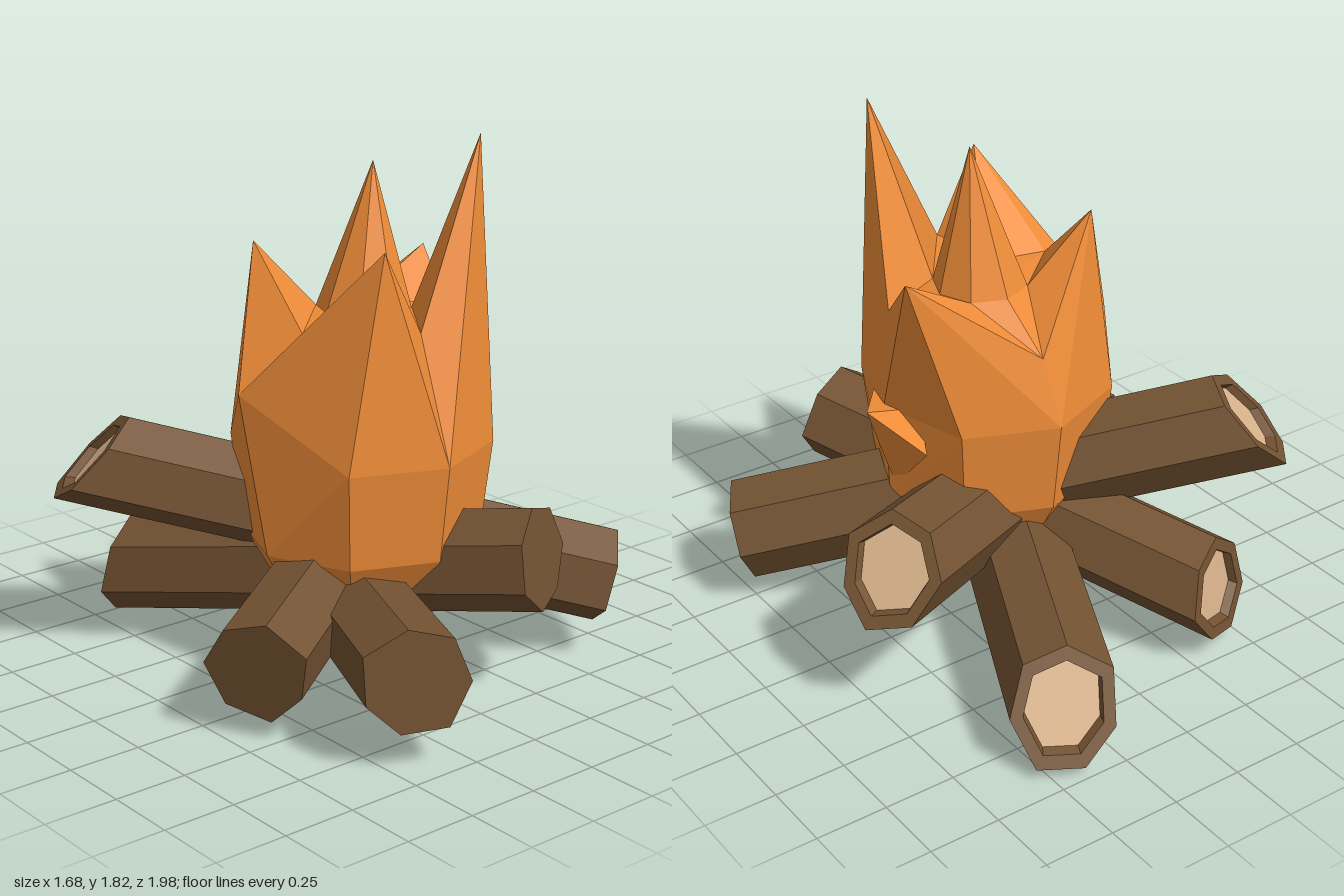
import * as THREE from 'three';
import { ConvexGeometry } from 'three/addons/geometries/ConvexGeometry.js';

const mat = (color) => new THREE.MeshStandardMaterial({ color, flatShading: true });
const bark = mat(0x735232), wood = mat(0xdab48c), fire = mat(0xee8c38);
const SIDES = 7;

// A log from its plain front end to its slanted, hollowed back end
function makeLog(name, front, back, r, slant, seed) {
  const a = new THREE.Vector3(...front), b = new THREE.Vector3(...back);
  const L = a.distanceTo(b);
  const shape = (geo) => {
    geo.rotateX(Math.PI / 2); // length runs along z
    const p = geo.attributes.position;
    for (let i = 0; i < p.count; i++) {
      const ang = Math.atan2(p.getY(i), p.getX(i));
      const k = 1 + 0.05 * Math.sin(2 * ang + seed) + 0.04 * Math.sin(3 * ang + seed * 2);
      const x = p.getX(i) * k, y = p.getY(i) * k, z = p.getZ(i);
      p.setXYZ(i, x, y, z - slant * y * (z / L));
    }
    return geo;
  };
  const lathe = (pts) => shape(new THREE.LatheGeometry(pts.map((q) => new THREE.Vector2(...q)), SIDES, seed));
  const log = new THREE.Group();
  log.name = name;
  const body = new THREE.Mesh(lathe([[0, 0], [r, 0], [r, L], [r * 0.76, L], [r * 0.72, L - 0.03]]), bark);
  body.name = 'bark';
  const cut = new THREE.Mesh(lathe([[r * 0.72, L - 0.03], [0, L - 0.03]]), wood);
  cut.name = 'cutWood';
  log.add(body, cut);
  log.position.copy(a);
  log.lookAt(b);
  return log;
}

// Flame body: eight-sided rings, a jagged crown, then an inner peak
function makeFlame() {
  const N = 8, cx = -0.01, cz = 0.155;
  const ring = (y, r, x = cx, z = cz) => Array.from({ length: N }, (_, i) => {
    const a = (i / N) * Math.PI * 2;
    return [x + r * Math.sin(a), y, z + r * Math.cos(a)];
  });
  const shoulder = ring(0.8, 0.44);
  shoulder[2] = [0.41, 0.82, 0.15];
  shoulder[6] = [-0.44, 1.0, 0.05];
  // alternating valleys and tips, from the front towards +x
  const crown = [
    [-0.02, 1.22, 0.46], [0.29, 1.82, 0.39], [0.38, 1.17, 0.15], [0.44, 1.36, -0.05],
    [0.02, 1.04, -0.22], [-0.26, 1.46, -0.1], [-0.27, 1.2, 0.17], [-0.19, 1.51, 0.48],
  ];
  const rings = [ring(0.12, 0.2), ring(0.47, 0.4), shoulder, crown, ring(1.22, 0.16, 0.07, 0.07)];
  const verts = [...rings.flat(), [-0.02, 0, 0.16], [0.1, 1.71, 0.08]];
  const bottom = N * rings.length, top = bottom + 1, last = N * (rings.length - 1);
  const idx = [];
  for (let i = 0; i < N; i++) {
    const j = (i + 1) % N;
    idx.push(bottom, j, i, top, last + i, last + j);
    for (let k = 0; k < rings.length - 1; k++) {
      const lo = k * N, hi = lo + N;
      // alternate the diagonal so that ridges run up to the tips
      if (i % 2) idx.push(lo + i, lo + j, hi + i, lo + j, hi + j, hi + i);
      else idx.push(lo + i, lo + j, hi + j, lo + i, hi + j, hi + i);
    }
  }
  const geo = new THREE.BufferGeometry();
  geo.setAttribute('position', new THREE.Float32BufferAttribute(verts.flat(), 3));
  geo.setIndex(idx);
  geo.computeVertexNormals();
  const body = new THREE.Mesh(geo, fire);
  body.name = 'flameBody';

  // Small tongue licking out of the side
  const tongue = new THREE.Mesh(new ConvexGeometry([
    [0.525, 0.87, 0.07], [0.36, 0.81, 0.29], [0.37, 0.71, -0.05], [0.37, 0.5, 0.15], [0.3, 0.8, 0.1],
  ].map((p) => new THREE.Vector3(...p))), fire);
  tongue.name = 'sideTongue';

  const flame = new THREE.Group();
  flame.name = 'flame';
  flame.add(body, tongue);
  return flame;
}

export function createModel() {
  const model = new THREE.Group();
  model.name = 'campfire';
  model.add(
    makeFlame(),
    makeLog('longLog', [-0.43, 0.29, 0.92], [0.41, 0.2, -0.88], 0.18, 0.6, 0.3),
    makeLog('highLog', [0.74, 0.25, 0.57], [-0.68, 0.71, -0.47], 0.18, 0.55, 1.2),
    makeLog('shortLog', [0.26, 0.48, 0.75], [-0.4, 0.22, -0.67], 0.18, 0.35, 2.1),
    makeLog('raisedLog', [-0.69, 0.24, 0.46], [0.7, 0.53, -0.33], 0.18, 0.45, 3.4),
  );
  return model;
}
